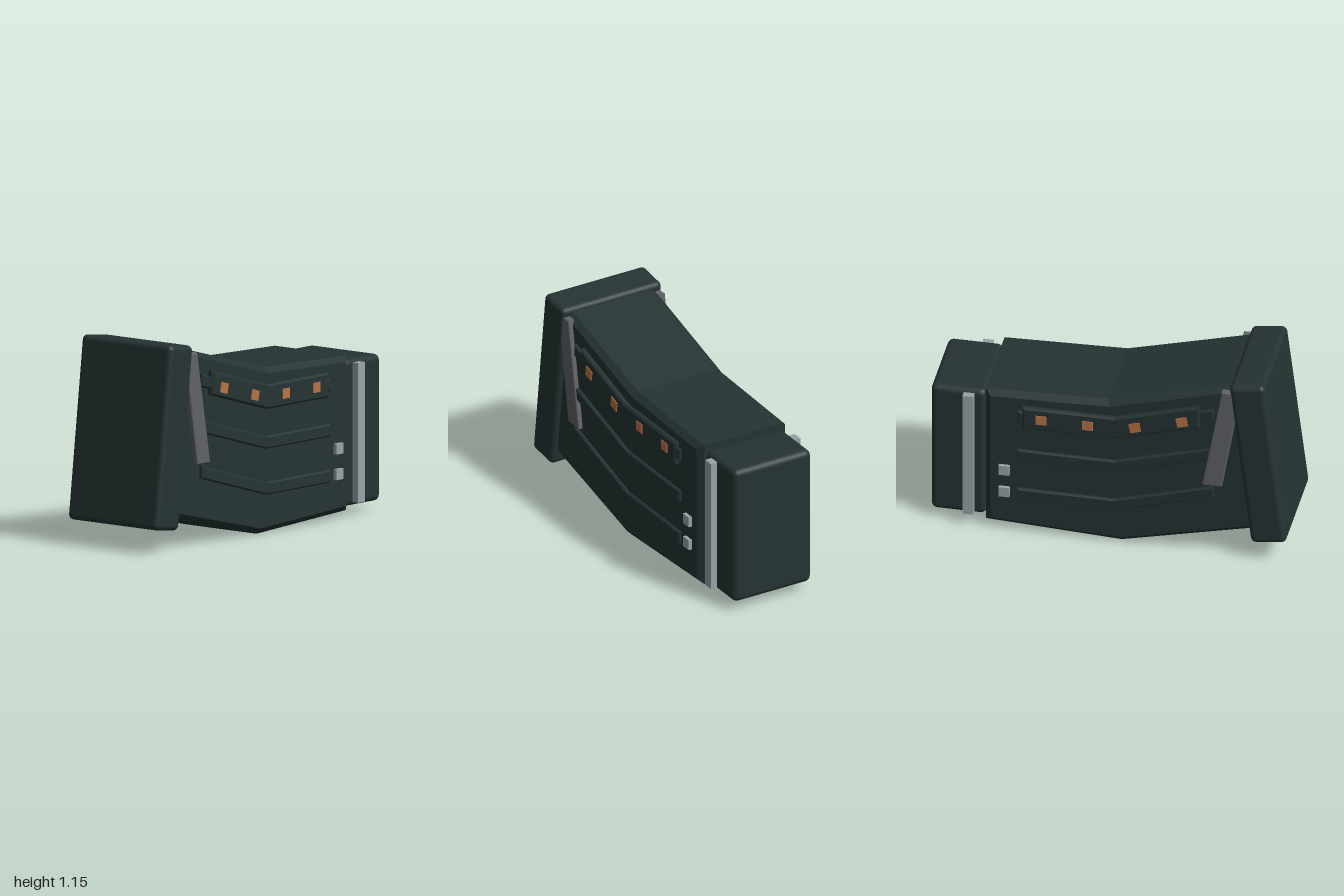
import * as THREE from 'three';
import { RoundedBoxGeometry } from 'three/addons/geometries/RoundedBoxGeometry.js';

const mat = (name, color) => {
  const m = new THREE.MeshStandardMaterial({ color });
  m.name = name;
  return m;
};

export function createModel() {
  const group = new THREE.Group();
  const shell = mat('dark green shell', 0x263333);
  const steel = mat('pale steel', 0x98a4a9);
  const lever = mat('grey lever', 0x606266);
  const copper = mat('copper', 0xb87345);

  const add = (name, geometry, material) => {
    const mesh = new THREE.Mesh(geometry, material);
    mesh.name = name;
    group.add(mesh);
    return mesh;
  };

  // Side outline given as [z, y] points, extruded from x0 to x1 with bevelled edges
  const slab = (points, x0, x1, bevel) => {
    const shape = new THREE.Shape(points.map(([z, y]) => new THREE.Vector2(-z, y)));
    const geometry = new THREE.ExtrudeGeometry(shape, {
      depth: x1 - x0 - 2 * bevel,
      bevelEnabled: bevel > 0,
      bevelThickness: bevel, bevelSize: bevel, bevelOffset: -bevel, bevelSegments: 1,
    });
    geometry.translate(0, 0, x0 + bevel);
    geometry.rotateY(Math.PI / 2);
    return geometry;
  };

  // The same slab on both flanks
  const pair = (name, points, x0, x1, bevel, material) => {
    add(name + 'Left', slab(points, x0, x1, bevel), material);
    add(name + 'Right', slab(points, -x1, -x0, bevel), material);
  };

  // Bent body
  add('body', slab([
    [0.75, 1.122], [0, 0.92], [-0.69, 0.9],
    [-0.69, 0.04], [0.07, 0.003], [0.85, 0.19],
  ], -0.285, 0.285, 0.032), shell);

  // Tilted front plate
  const plate = add('frontPlate', new RoundedBoxGeometry(0.645, 1.02, 0.2, 3, 0.03), shell);
  plate.position.set(0, 0.635, 0.842);
  plate.rotation.x = -0.122;

  // Rear cap
  const cap = add('rearCap', new RoundedBoxGeometry(0.5, 0.815, 0.31, 3, 0.035), shell);
  cap.position.set(0, 0.463, -0.845);

  // Bands that are flat at the rear and climb toward the front
  const bend = 0.04, slope = 0.285;
  const band = (front, rear, low, high) => {
    const rise = (front - bend) * slope;
    return [[front, high + rise], [bend, high], [rear, high],
      [rear, low], [bend, low], [front, low + rise]];
  };
  [0.22, 0.475, 0.73].forEach((y, i) =>
    pair('rib' + (i + 1), band(0.595, -0.505, y, y + 0.07), 0.27, 0.304, 0.008, shell));
  pair('lightPanel', band(0.515, -0.475, 0.697, 0.833), 0.27, 0.313, 0.01, shell);

  // Copper windows follow the bend of the panel
  [[0.418, 0.862], [0.155, 0.79], [-0.11, 0.767], [-0.37, 0.767]].forEach(([z, y], i) => {
    const tilt = z > bend ? slope : 0;
    const points = [[1, 1], [-1, 1], [-1, -1], [1, -1]].map(([a, b]) =>
      [z + a * 0.03 + b * -0.02 * tilt, y + b * 0.028 + a * 0.03 * tilt]);
    pair('window' + (i + 1), points, 0.31, 0.318, 0, copper);
  });

  // Slanted levers behind the front plate
  pair('lever', [[0.745, 1.085], [0.64, 1.085], [0.53, 0.462], [0.64, 0.462]],
    0.27, 0.312, 0.005, lever);

  // Steel rails on the rear cap and small studs on the body
  const rect = (z, y, w, h) => [[z + w / 2, y + h / 2], [z - w / 2, y + h / 2],
    [z - w / 2, y - h / 2], [z + w / 2, y - h / 2]];
  pair('rail', rect(-0.785, 0.463, 0.06, 0.775), 0.23, 0.288, 0, steel);
  [0.4, 0.258].forEach((y, i) =>
    pair('stud' + (i + 1), rect(-0.58, y, 0.06, 0.06), 0.275, 0.305, 0, steel));

  return group;
}
